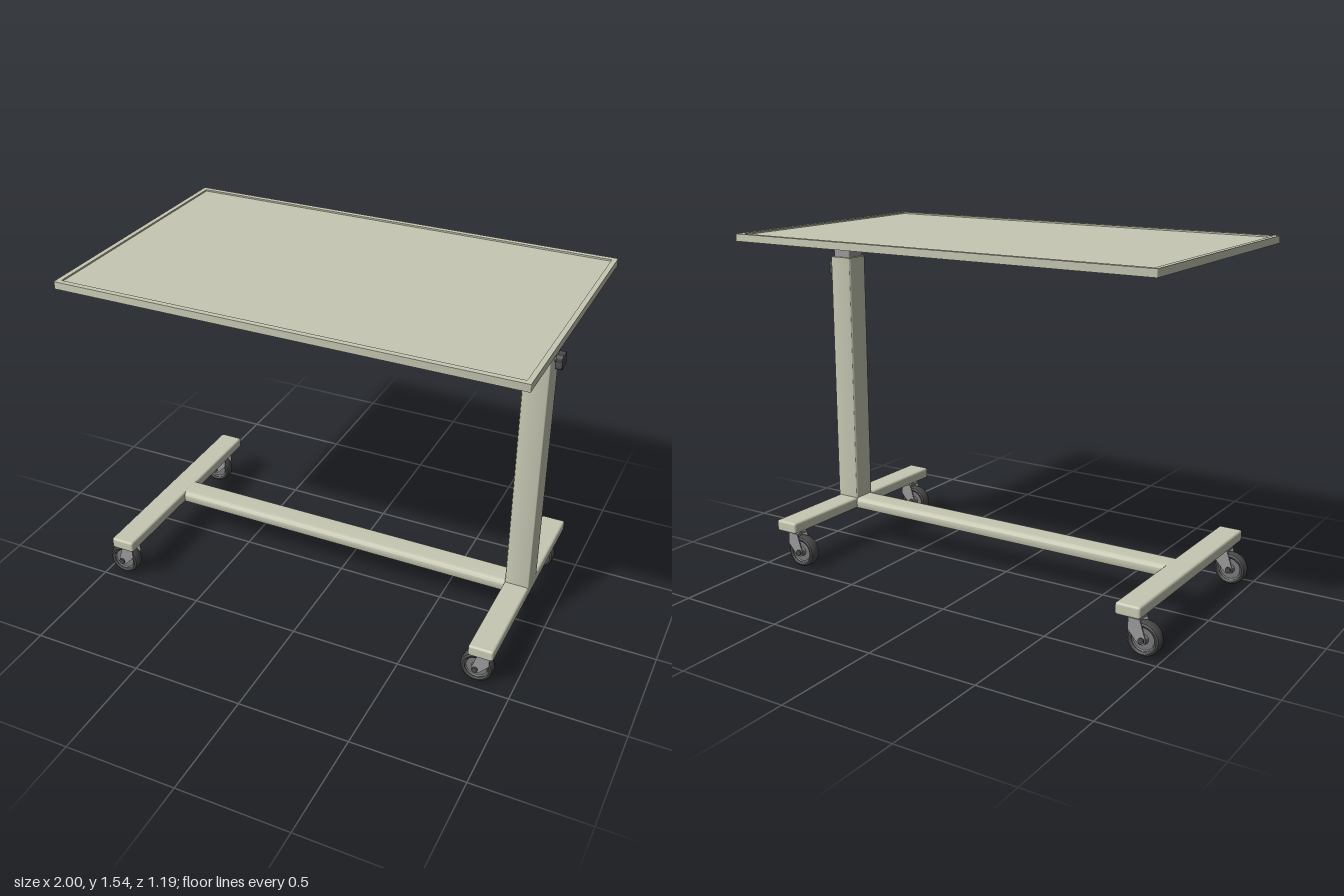
import * as THREE from 'three';
import { RoundedBoxGeometry } from 'three/addons/geometries/RoundedBoxGeometry.js';
import { toCreasedNormals } from 'three/addons/utils/BufferGeometryUtils.js';

const paint = new THREE.MeshStandardMaterial({ color: 0xc6c7b2 });
const steel = new THREE.MeshStandardMaterial({ color: 0x9a989a });
const darkSteel = new THREE.MeshStandardMaterial({ color: 0x77777a });
const rubber = new THREE.MeshStandardMaterial({ color: 0x4a4a4a });

function add(parent, name, geometry, material, x = 0, y = 0, z = 0) {
  const mesh = new THREE.Mesh(geometry, material);
  mesh.name = name;
  mesh.position.set(x, y, z);
  parent.add(mesh);
  return mesh;
}

// Rectangle outline with its own radius on the lower and the upper corners
function roundedRect(w, h, rLow, rHigh) {
  const a = w / 2, b = h / 2, s = new THREE.Shape();
  s.absarc(a - rLow, -b + rLow, rLow, -Math.PI / 2, 0);
  s.absarc(a - rHigh, b - rHigh, rHigh, 0, Math.PI / 2);
  s.absarc(-a + rHigh, b - rHigh, rHigh, Math.PI / 2, Math.PI);
  s.absarc(-a + rLow, -b + rLow, rLow, Math.PI, Math.PI * 1.5);
  s.closePath();
  return s;
}

function extrude(shape, depth) {
  const g = new THREE.ExtrudeGeometry(shape, { depth, bevelEnabled: false, curveSegments: 6 });
  return toCreasedNormals(g.translate(0, 0, -depth / 2), 0.6);
}

// Lathe around the z axis from [radius, z] points
function latheZ(points, segments = 32) {
  const g = new THREE.LatheGeometry(points.map(p => new THREE.Vector2(...p)), segments);
  return toCreasedNormals(g.rotateX(Math.PI / 2), 0.6);
}

function createCaster() {
  const caster = new THREE.Group();
  caster.name = 'caster';
  const wheel = new THREE.Group();
  wheel.name = 'wheel';
  wheel.position.set(-0.035, 0.073, 0);
  caster.add(wheel);
  // Tyre with rounded tread, closed around the hub
  add(wheel, 'tyre', latheZ([[0.05, -0.022], [0.06, -0.027], [0.068, -0.023], [0.072, -0.013],
    [0.072, 0.013], [0.068, 0.023], [0.06, 0.027], [0.05, 0.022], [0.05, -0.022]]), rubber);
  // Dished hub and axle
  add(wheel, 'hub', latheZ([[0, -0.026], [0.018, -0.026], [0.022, -0.014], [0.046, -0.014], [0.052, -0.022],
    [0.052, 0.022], [0.046, 0.014], [0.022, 0.014], [0.018, 0.026], [0, 0.026]]), darkSteel);
  add(wheel, 'axle', new THREE.CylinderGeometry(0.013, 0.013, 0.084, 16).rotateX(Math.PI / 2), rubber);

  // Raked fork plates, one on each side of the wheel
  const plate = new THREE.Shape([[-0.026, 0.158], [0.024, 0.158], [0.026, 0.108], [-0.012, 0.066],
    [-0.026, 0.055], [-0.042, 0.055], [-0.052, 0.068], [-0.05, 0.085]].map(p => new THREE.Vector2(...p)));
  for (const s of [-1, 1]) add(caster, 'forkPlate', extrude(plate, 0.005), steel, 0, 0, s * 0.032);
  add(caster, 'forkBridge', new THREE.BoxGeometry(0.05, 0.008, 0.068), steel, -0.001, 0.156, 0);
  // Swivel bearing and mounting plate
  add(caster, 'swivel', new THREE.CylinderGeometry(0.026, 0.022, 0.016, 20), steel, 0, 0.166, 0);
  add(caster, 'mountingPlate', new THREE.BoxGeometry(0.055, 0.01, 0.084), steel, 0, 0.176, 0);
  return caster;
}

export function createModel() {
  const model = new THREE.Group();
  model.name = 'overbedTable';
  const postX = 0.867, postZ = -0.01;

  // Table top: flat panel inside a low raised lip
  const top = new THREE.Group();
  top.name = 'tableTop';
  model.add(top);
  add(top, 'panel', new THREE.BoxGeometry(1.98, 0.024, 1.18), paint, 0, 1.522, 0);
  const lip = roundedRect(2, 1.194, 0.004, 0.004);
  lip.holes.push(roundedRect(1.956, 1.146, 0.004, 0.004));
  add(top, 'lip', extrude(lip, 0.032).rotateX(-Math.PI / 2), paint, 0, 1.525, 0);

  // Telescoping column, softer edges on the side facing the crossbar
  add(model, 'column', extrude(roundedRect(0.118, 0.11, 0.005, 0.014), 1.2)
    .rotateZ(Math.PI / 2).rotateX(-Math.PI / 2), paint, postX, 0.79, postZ);
  add(model, 'innerPost', new RoundedBoxGeometry(0.09, 0.3, 0.098, 2, 0.005), steel, postX, 1.362, postZ);

  // Height clamp: stud and four-lobed knob
  add(model, 'clampStud', new THREE.CylinderGeometry(0.011, 0.011, 0.03, 12).rotateZ(Math.PI / 2),
    darkSteel, 0.926, 1.33, postZ);
  const lobes = new THREE.Shape();
  for (let i = 0; i <= 48; i++) {
    const t = i / 48 * Math.PI * 2, r = 0.029 - 0.006 * Math.cos(4 * t);
    lobes[i ? 'lineTo' : 'moveTo'](r * Math.cos(t), r * Math.sin(t));
  }
  add(model, 'clampKnob', toCreasedNormals(new THREE.ExtrudeGeometry(lobes, { depth: 0.018, bevelSize: 0.004,
    bevelThickness: 0.006, bevelSegments: 2 }).rotateY(Math.PI / 2), 0.6), rubber, 0.937, 1.33, postZ);

  // Base: two feet joined by a crossbar with rounded upper edges
  for (const [name, x] of [['rightFoot', -0.875], ['leftFoot', postX]])
    add(model, name, new RoundedBoxGeometry(0.11, 0.052, 1.024, 3, 0.011), paint, x, 0.204, 0);
  add(model, 'crossbar', extrude(roundedRect(0.118, 0.05, 0.004, 0.02), 1.7).rotateY(Math.PI / 2),
    paint, -0.005, 0.204, postZ);

  // Casters
  for (const x of [-0.882, 0.87]) for (const s of [-1, 1]) {
    const caster = createCaster();
    caster.position.set(x, 0, s * 0.432);
    model.add(caster);
  }
  return model;
}
